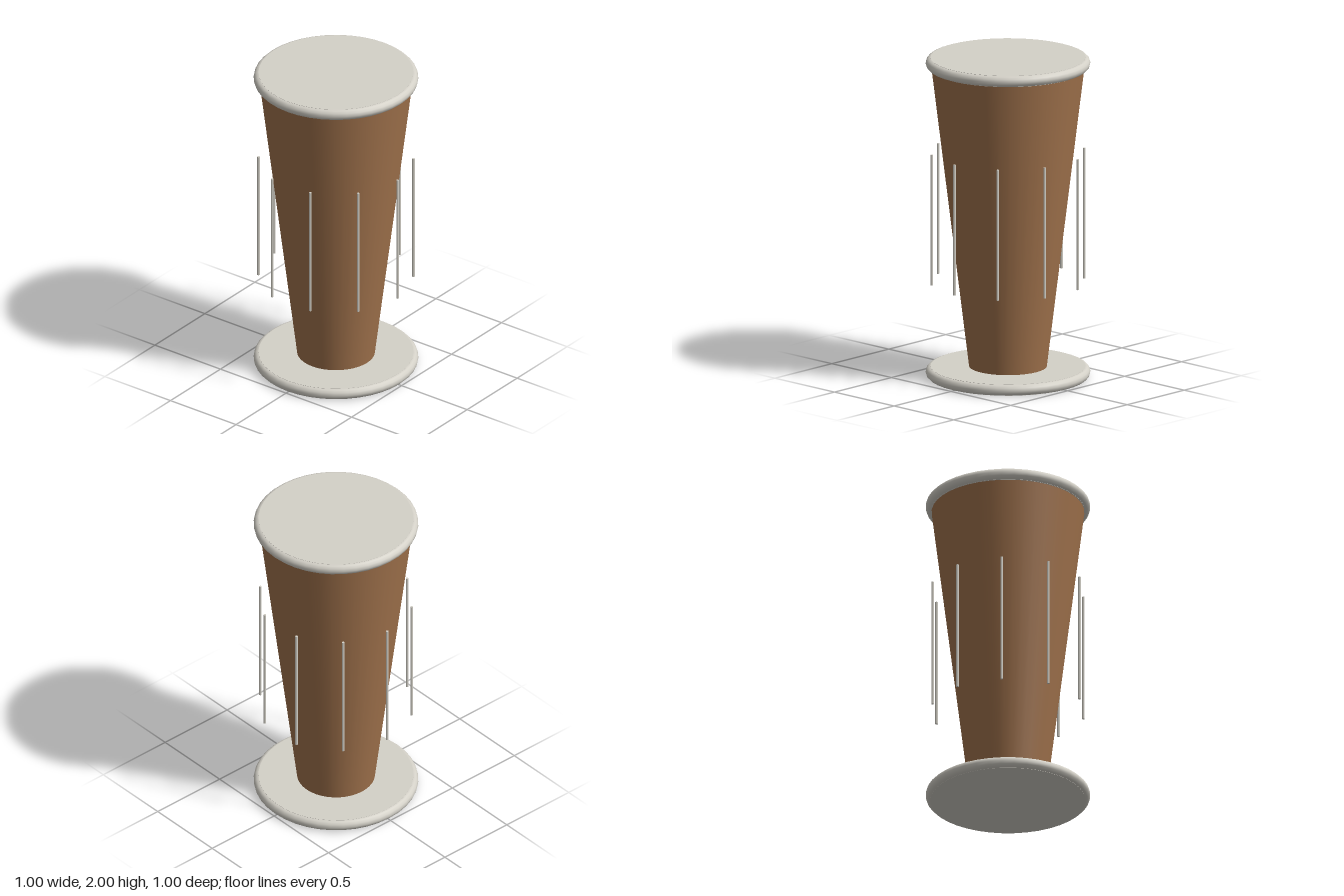
import * as THREE from 'three';

export function createModel() {
  const model = new THREE.Group();
  const wood = new THREE.MeshStandardMaterial({ name: 'brown wood', color: 0xa0724c });
  const pale = new THREE.MeshStandardMaterial({ name: 'pale grey', color: 0xd4d1c8 });

  const add = (name, geometry, material, x, y, z) => {
    const mesh = new THREE.Mesh(geometry, material);
    mesh.name = name;
    mesh.position.set(x, y, z);
    model.add(mesh);
  };

  // Tapered body, wider at the top
  add('body', new THREE.CylinderGeometry(0.465, 0.235, 1.88, 40), wood, 0, 1, 0);

  // Flat disc with a rounded rim at each end
  const disc = new THREE.CylinderGeometry(0.47, 0.47, 0.07, 40);
  const rim = new THREE.TorusGeometry(0.465, 0.035, 12, 40).rotateX(Math.PI / 2);
  for (const [end, y] of [['bottom', 0.035], ['top', 1.965]]) {
    add(end + 'Disc', disc, pale, 0, y, 0);
    add(end + 'Rim', rim, pale, 0, y, 0);
  }

  // Ring of ten thin upright rods
  const rod = new THREE.CylinderGeometry(0.008, 0.008, 0.816, 8);
  for (let i = 0; i < 10; i++) {
    const a = (i / 10) * Math.PI * 2;
    add('rod' + (i + 1), rod, pale, 0.47 * Math.cos(a), 1.003, 0.47 * Math.sin(a));
  }
  return model;
}
